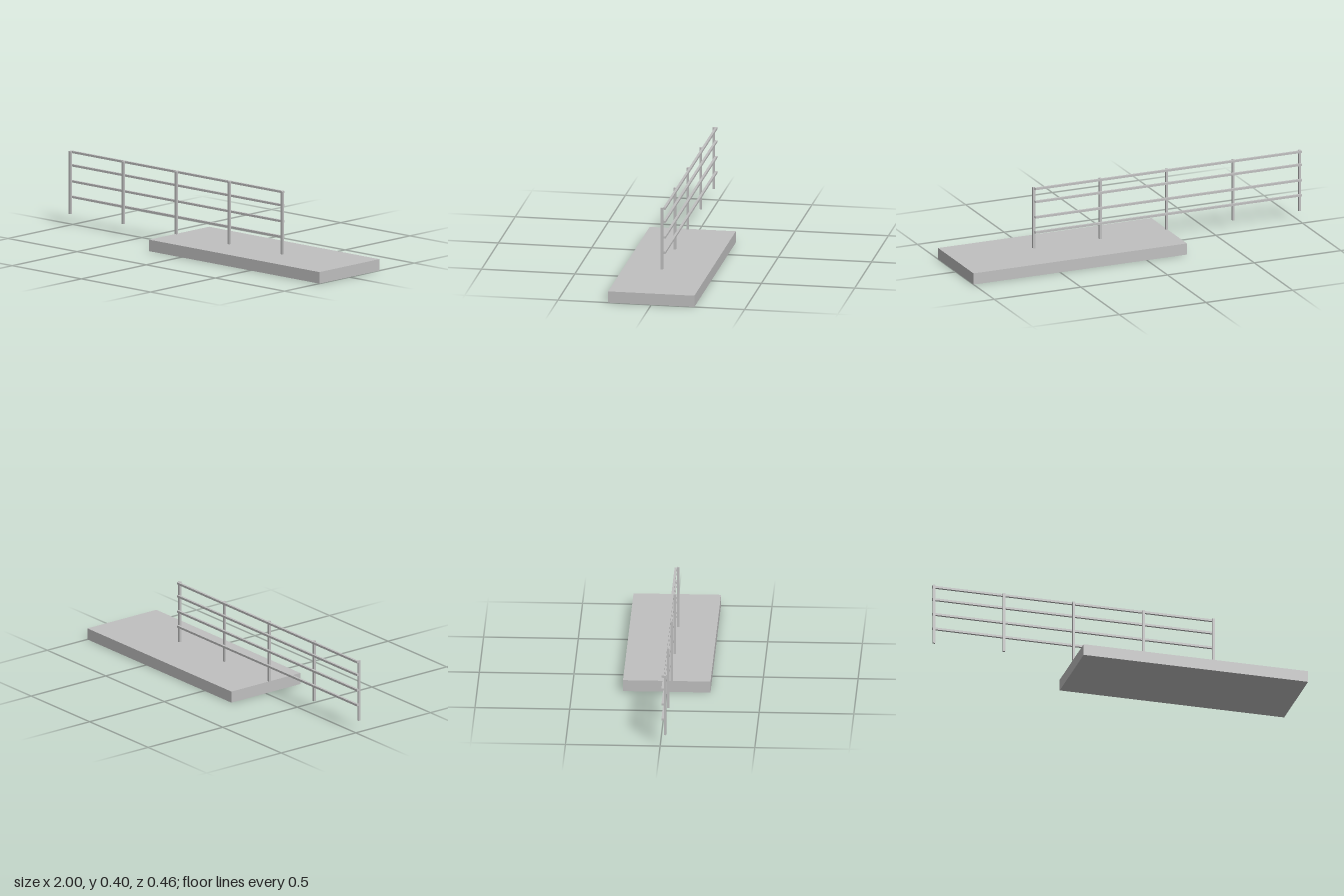
import * as THREE from 'three';

export function createModel() {
  const model = new THREE.Group();
  model.name = 'platformWithRailing';
  const grey = new THREE.MeshStandardMaterial({ color: 0xc0c0c0 });
  grey.name = 'grey';

  // Box given by its minimum and maximum corners
  function addBox(parent, name, [x0, y0, z0], [x1, y1, z1]) {
    const mesh = new THREE.Mesh(new THREE.BoxGeometry(x1 - x0, y1 - y0, z1 - z0), grey);
    mesh.position.set((x0 + x1) / 2, (y0 + y1) / 2, (z0 + z1) / 2);
    mesh.name = name;
    parent.add(mesh);
  }

  const slabTop = 0.062, railingTop = 0.4, bar = 0.0125;
  const left = -1, right = 0.545;

  // Platform slab
  addBox(model, 'slab', [-0.231, 0, -0.231], [1, slabTop, 0.231]);

  const railing = new THREE.Group();
  railing.name = 'railing';
  model.add(railing);

  // Evenly spaced posts, half of them standing beyond the slab
  const postCount = 5, postBack = 0.0195;
  for (let i = 0; i < postCount; i++) {
    const x = left + (right - bar - left) * i / (postCount - 1);
    addBox(railing, 'post', [x, slabTop, postBack], [x + bar, railingTop, postBack + bar]);
  }

  // Horizontal rails fixed to the back of the posts
  for (const top of [railingTop, 0.328, 0.242, 0.158]) {
    addBox(railing, 'rail', [left, top - 0.0115, postBack - bar], [right - 0.008, top, postBack]);
  }

  return model;
}
